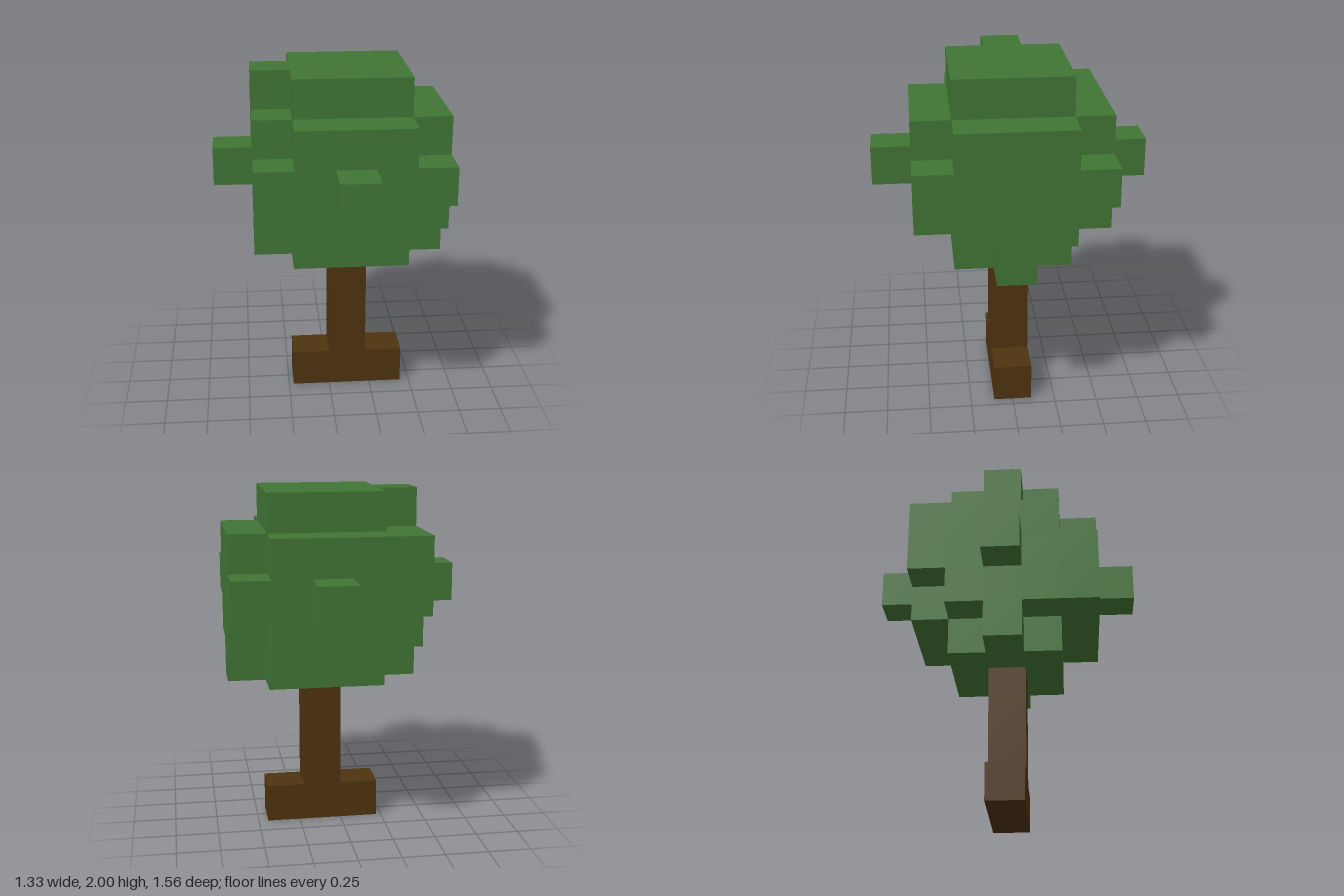
import * as THREE from 'three';
import { mergeGeometries } from 'three/addons/utils/BufferGeometryUtils.js';

const U = 2 / 9; // edge of one block

// Each layer maps a z row to its [start, end] span of blocks along x.
const leafLayers = {
  4: { '-1': [-1, 2], 0: [-2, 3], 1: [-1, 2] },
  5: { '-2': [-1, 2], '-1': [-2, 3], 0: [-2, 3], 1: [-2, 3], 2: [-2, 2] },
  6: { '-3': [0, 1], '-2': [-2, 3], '-1': [-2, 3], 0: [-3, 3], 1: [-2, 3], 2: [-2, 3], 3: [0, 1] },
  7: { '-2': [-2, 2], '-1': [-2, 3], 0: [-2, 3], 1: [-2, 3], 2: [-1, 2] },
  8: { '-1': [-1, 2], 0: [-2, 2], 1: [-1, 2] },
};
const trunkLayers = { 0: { 0: [-1, 2] }, 1: { 0: [0, 1] }, 2: { 0: [0, 1] }, 3: { 0: [0, 1] } };

// Outward block sides: neighbour offset and the rotation of its square
const sides = [
  [1, 0, 0, 0, Math.PI / 2], [-1, 0, 0, 0, -Math.PI / 2],
  [0, 1, 0, -Math.PI / 2, 0], [0, -1, 0, Math.PI / 2, 0],
  [0, 0, 1, 0, 0], [0, 0, -1, 0, Math.PI],
];

// Joins the blocks into one shell, leaving out sides shared by two blocks
function blockGeometry(layers) {
  const filled = (x, y, z) => {
    const span = layers[y]?.[z];
    return !!span && x >= span[0] && x < span[1];
  };
  const faces = [];
  for (const y of Object.keys(layers).map(Number)) {
    for (const z of Object.keys(layers[y]).map(Number)) {
      const [start, end] = layers[y][z];
      for (let x = start; x < end; x++) {
        for (const [dx, dy, dz, rx, ry] of sides) {
          if (filled(x + dx, y + dy, z + dz)) continue;
          faces.push(new THREE.PlaneGeometry(U, U).rotateX(rx).rotateY(ry).translate(
            (x + 0.5 + dx / 2) * U, (y + 0.5 + dy / 2) * U, (z + dz / 2) * U));
        }
      }
    }
  }
  return mergeGeometries(faces);
}

export function createModel() {
  const leafGreen = new THREE.MeshStandardMaterial({ color: 0x407434 });
  leafGreen.name = 'leafGreen';
  const barkBrown = new THREE.MeshStandardMaterial({ color: 0x4e330f });
  barkBrown.name = 'barkBrown';

  const tree = new THREE.Group();
  tree.name = 'tree';

  // Trunk with its wide foot
  const trunk = new THREE.Mesh(blockGeometry(trunkLayers), barkBrown);
  trunk.name = 'trunk';

  // Stepped crown of leaves
  const crown = new THREE.Mesh(blockGeometry(leafLayers), leafGreen);
  crown.name = 'leafCrown';

  tree.add(trunk, crown);
  return tree;
}
